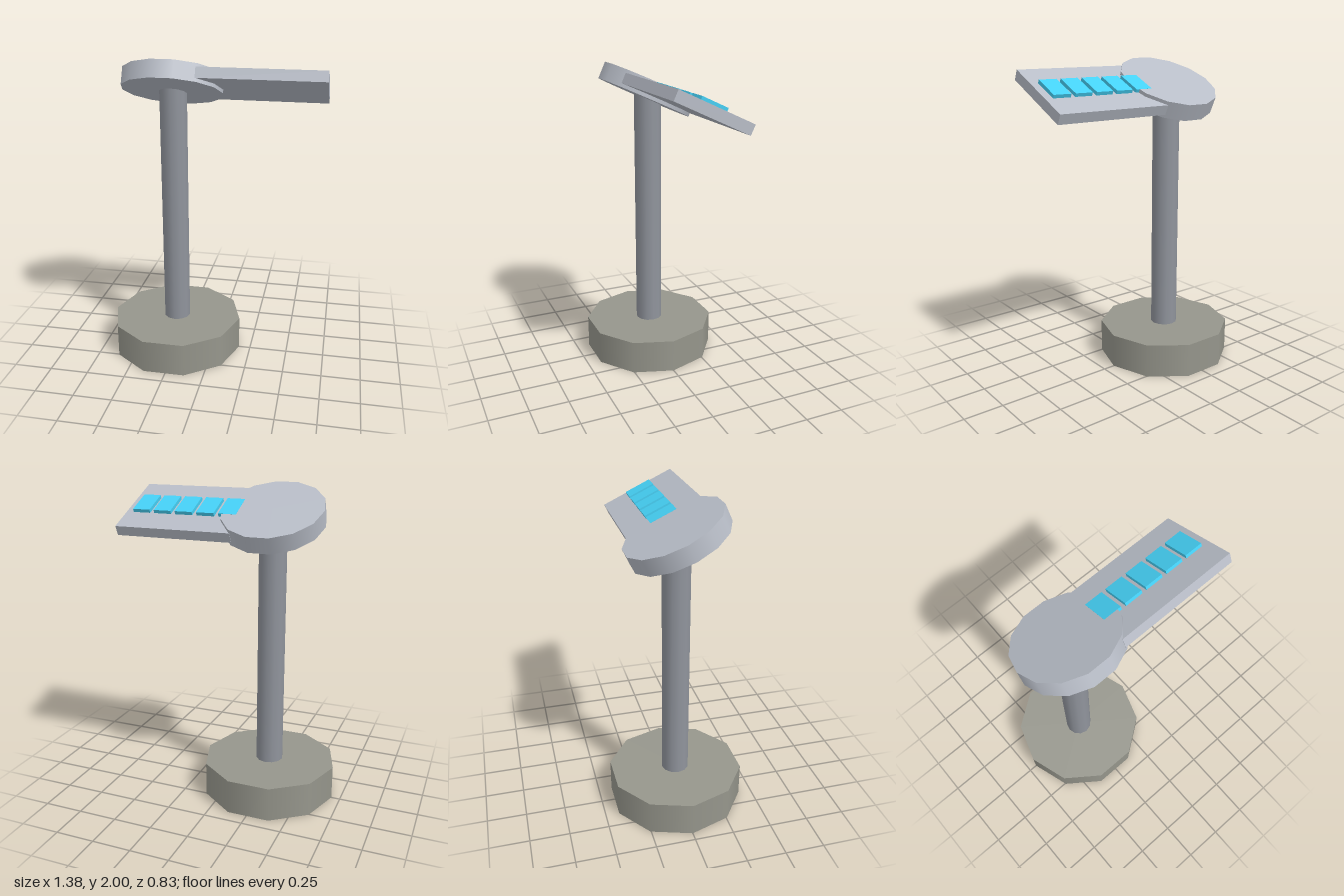
import * as THREE from 'three';

const material = (color) => new THREE.MeshStandardMaterial({ color });

function addMesh(parent, name, geometry, mat, x, y, z) {
  const mesh = new THREE.Mesh(geometry, mat);
  mesh.name = name;
  mesh.position.set(x, y, z);
  parent.add(mesh);
  return mesh;
}

// Upright cylinder with a corner of its polygon on the x axis
const drum = (radius, height, sides) =>
  new THREE.CylinderGeometry(radius, radius, height, sides, 1, false, Math.PI / 2);

export function createModel() {
  const model = new THREE.Group();
  model.name = 'signalPost';

  const stone = material(0x96968c);
  const steel = material(0x90949c);
  const paleSteel = material(0xb8bdc7);
  const glow = material(0x45d0f5);
  const axisX = -0.26;

  // Heavy foot and post
  const baseHeight = 0.22;
  addMesh(model, 'base', drum(0.434, baseHeight, 10), stone, axisX, baseHeight / 2, 0);
  const postTop = 1.8;
  addMesh(model, 'post', drum(0.088, postTop - baseHeight, 12), steel,
    axisX, (postTop + baseHeight) / 2, 0);

  // Head leans back to front: its front edge is the higher one
  const head = new THREE.Group();
  head.name = 'tiltedHead';
  head.position.y = 1.82;
  head.rotation.x = THREE.MathUtils.degToRad(-25);
  model.add(head);

  addMesh(head, 'disc', drum(0.317, 0.11, 14), paleSteel, axisX, 0, 0);
  addMesh(head, 'arm', new THREE.BoxGeometry(0.76, 0.066, 0.508), paleSteel, 0.31, 0, 0);

  // Row of light tiles along the arm, level with the top of the disc
  const tile = new THREE.BoxGeometry(0.116, 0.026, 0.175);
  for (let i = 0; i < 5; i++) {
    addMesh(head, `lightTile${i + 1}`, tile, glow, 0.002 + i * 0.145, 0.0425, 0);
  }

  return model;
}
